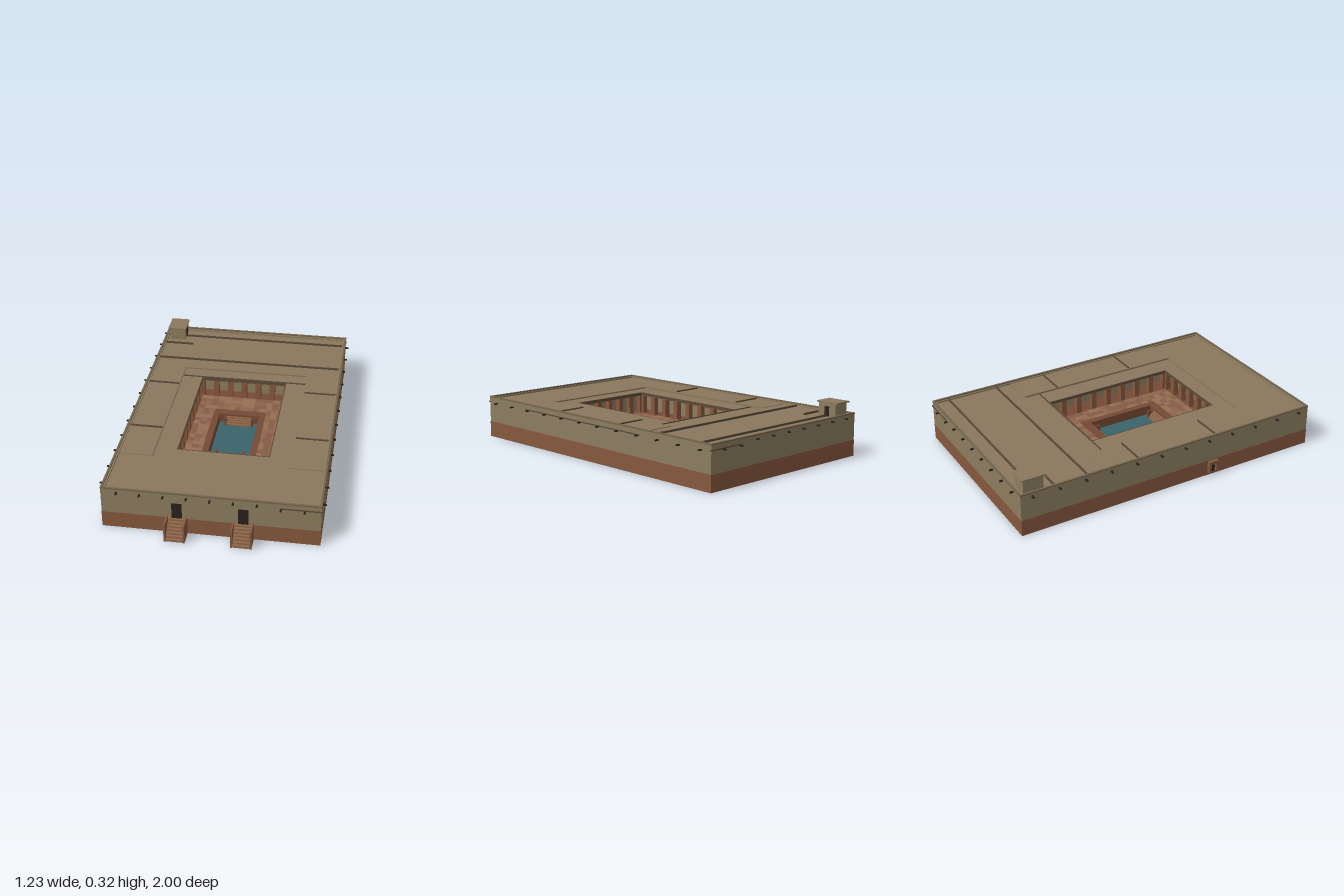
import * as THREE from 'three';
import { mergeGeometries } from 'three/addons/utils/BufferGeometryUtils.js';

const mat = (color) => new THREE.MeshStandardMaterial({ color });
const PLASTER = mat(0x8c7d60), ROOF = mat(0x8a785d), BRICK = mat(0x86583e), TRIM = mat(0x5a4a39);
const CAP = mat(0x75664e), DARK = mat(0x2a221d), WATER = mat(0x3a626b), RIM = mat(0x764a35), STEP = mat(0x93694b);
const TILES = [mat(0x8d664c), mat(0x966e52), mat(0x845c44)];

// Outer footprint, gallery, court and pool as [x0, x1, z0, z1]
const OUT = [-0.595, 0.595, -0.98, 0.91];
const GAL = [-0.385, 0.385, -0.465, 0.55];
const COURT = [-0.265, 0.265, -0.37, 0.455];
const RIMR = [-0.16, 0.16, -0.205, 0.29];
const POOL = [-0.122, 0.122, -0.165, 0.255];
const inset = ([a, b, c, d], t) => [a + t, b - t, c + t, d - t];

// Box given by its extents
function boxGeo(x0, x1, y0, y1, z0, z1) {
  return new THREE.BoxGeometry(x1 - x0, y1 - y0, z1 - z0)
    .translate((x0 + x1) / 2, (y0 + y1) / 2, (z0 + z1) / 2);
}

// Horizontal ring: a rectangular slab with a rectangular hole
function ringGeo(rect, hole, y0, y1) {
  const pts = ([a, b, c, d]) => [[a, -d], [b, -d], [b, -c], [a, -c]].map(p => new THREE.Vector2(...p));
  const shape = new THREE.Shape(pts(rect));
  shape.holes.push(new THREE.Path(pts(hole).reverse()));
  return new THREE.ExtrudeGeometry(shape, { depth: y1 - y0, bevelEnabled: false })
    .rotateX(-Math.PI / 2).translate(0, y0, 0);
}

export function createModel() {
  const root = new THREE.Group();
  const add = (name, material, ...geos) => {
    const mesh = new THREE.Mesh(geos.length > 1 ? mergeGeometries(geos) : geos[0], material);
    mesh.name = name;
    root.add(mesh);
  };

  // Outer walls
  add('brickPlinth', BRICK, ringGeo(OUT, inset(OUT, 0.03), 0, 0.095));
  add('upperWalls', PLASTER, ringGeo(inset(OUT, 0.001), inset(OUT, 0.02), 0.095, 0.246));
  add('parapetCap', CAP, ringGeo(OUT, inset(OUT, 0.012), 0.246, 0.254));

  // Sunken ledge round the left wing
  add('wingLedge', TRIM,
    boxGeo(0.38, 0.599, 0.217, 0.223, 0.9, 0.914),
    boxGeo(0.38, 0.599, 0.217, 0.223, -0.984, -0.97),
    boxGeo(0.585, 0.599, 0.215, 0.221, -0.45, 0.55));

  // Foundation walls
  add('foundationWalls', BRICK,
    boxGeo(-0.57, 0.57, 0, 0.094, -0.225, -0.2),
    boxGeo(-0.57, -0.16, 0, 0.094, 0.2, 0.23));

  // Floors
  add('mainFloor', RIM, ringGeo([-0.57, 0.57, -0.21, 0.885], RIMR, 0.085, 0.095));
  add('backCourtFloor', RIM, boxGeo(GAL[0], GAL[1], 0.085, 0.095, GAL[2], -0.21));

  // Court paving
  const paving = [[], [], []];
  const nx = 14, nz = 22, tw = 0.53 / nx, tz = 0.825 / nz;
  let seed = 7;
  for (let i = 0; i < nx; i++) for (let j = 0; j < nz; j++) {
    seed = (seed * 1103515245 + 12345) % 2147483648;
    const x = COURT[0] + (i + 0.5) * tw, z = COURT[2] + (j + 0.5) * tz;
    if (x > RIMR[0] && x < RIMR[1] && z > RIMR[2] && z < RIMR[3]) continue;
    paving[Math.floor(seed / 65536) % 3].push(
      boxGeo(x - tw / 2, x + tw / 2, 0.094, 0.0975, z - tz / 2, z + tz / 2));
  }
  paving.forEach((geos, k) => add('courtPaving', TILES[k], ...geos));

  // Pool basin, water and end steps
  add('poolBasin', RIM, ringGeo(RIMR, POOL, 0, 0.0985));
  add('poolBottom', DARK, boxGeo(POOL[0], POOL[1], 0.005, 0.02, POOL[2], POOL[3]));
  add('water', WATER, boxGeo(POOL[0], POOL[1], 0.02, 0.042, POOL[2], POOL[3]));
  for (const s of [-1, 1]) {
    const zEnd = s < 0 ? POOL[2] : POOL[3];
    const steps = [];
    for (let k = 0; k < 4; k++) {
      const a = zEnd - s * k * 0.01, b = a - s * 0.01;
      steps.push(boxGeo(-0.075, 0.075, 0.02, 0.085 - k * 0.011, Math.min(a, b), Math.max(a, b)));
    }
    add('poolSteps', STEP, ...steps);
    const ends = [zEnd, zEnd - s * 0.042];
    add('poolStepCheeks', RIM, ...[-1, 1].map(m =>
      boxGeo(m * 0.08 - 0.005, m * 0.08 + 0.005, 0.02, 0.09, Math.min(...ends), Math.max(...ends))));
  }

  // Gallery wall, piers and lintel around the court
  add('galleryWalls', PLASTER, ringGeo(GAL, inset(GAL, 0.015), 0.085, 0.226));
  const piers = [], s = 0.032;
  const pier = (x, z) => piers.push(boxGeo(x - s / 2, x + s / 2, 0.095, 0.212, z - s / 2, z + s / 2));
  for (let i = 0; i <= 6; i++) {
    const x = THREE.MathUtils.lerp(COURT[0], COURT[1], i / 6);
    pier(x, COURT[2] - s / 2);
    pier(x, COURT[3] + s / 2);
  }
  for (let j = 0; j <= 8; j++) {
    const z = THREE.MathUtils.lerp(COURT[2], COURT[3], j / 8);
    pier(COURT[0] - s / 2, z);
    pier(COURT[1] + s / 2, z);
  }
  add('courtPiers', BRICK, ...piers);
  add('courtLintel', TRIM, ringGeo(inset(COURT, -0.03), COURT, 0.208, 0.219));

  // Roofs: high outer ring, lower gallery ring and side wing panels
  add('mainRoof', ROOF, ringGeo(inset(OUT, 0.012), GAL, 0.222, 0.236));
  add('galleryRoof', ROOF, ringGeo(inset(GAL, -0.003), COURT, 0.218, 0.228));
  add('courtEaves', TRIM, ringGeo(COURT, inset(COURT, 0.006), 0.217, 0.2285));
  add('wingRoofs', ROOF,
    boxGeo(-0.583, -0.388, 0.23, 0.239, -0.47, 0.55),
    boxGeo(0.383, 0.583, 0.23, 0.24, -0.475, 0.56));

  // Raised wall heads crossing the roofs: [x0, x1, z]
  const ridges = [[-0.583, 0.583, -0.88], [-0.583, -0.395, -0.77], [-0.583, 0.583, -0.57],
    [-0.583, -0.39, -0.25], [0.39, 0.583, -0.25], [-0.583, -0.39, 0.26], [0.39, 0.583, 0.26]];
  add('roofRidges', TRIM,
    ...ridges.map(([a, b, z]) => boxGeo(a, b, 0.23, 0.247, z - 0.004, z + 0.004)),
    boxGeo(-0.383, 0.383, 0.22, 0.233, -0.376, -0.369));

  // Projecting beam ends, set lower round the left wing
  const beams = [];
  const beam = (x, y, z, hx, hz) => beams.push(boxGeo(x - hx, x + hx, y - 0.004, y + 0.004, z - hz, z + hz));
  for (let i = 0; i < 12; i++) {
    const z = -0.91 + i * 0.1585;
    beam(-0.6, 0.229, z, 0.015, 0.005);
    beam(0.6, 0.214, z, 0.015, 0.005);
  }
  for (let i = 0; i < 9; i++) {
    const x = (i - 4) * 0.1265, y = i < 7 ? 0.229 : 0.214;
    beam(x, y, -0.985, 0.005, 0.012);
    beam(x, y, 0.915, 0.005, 0.015);
  }
  add('beamEnds', DARK, ...beams);

  // Front doors and stairs
  for (const x of [-0.18, 0.18]) {
    add('frontDoor', DARK, boxGeo(x - 0.028, x + 0.028, 0.095, 0.19, 0.89, 0.912));
    const steps = [];
    for (let k = 0; k < 7; k++) {
      steps.push(boxGeo(x - 0.048, x + 0.048, 0, 0.0136 * (k + 1), 0.997 - (k + 1) * 0.0125, 0.997 - k * 0.0125));
    }
    add('frontSteps', STEP, ...steps);
    add('stairCheeks', BRICK, ...[-1, 1].map(m =>
      boxGeo(x + m * 0.052 - 0.005, x + m * 0.052 + 0.005, 0, 0.111, 0.91, 1)));
  }

  // Roof stair hut
  add('roofHut', PLASTER, boxGeo(-0.56, -0.46, 0.23, 0.314, -0.945, -0.825));
  add('roofHutCap', ROOF, boxGeo(-0.57, -0.454, 0.313, 0.321, -0.957, -0.815));
  add('roofHutDoor', DARK, boxGeo(-0.47, -0.457, 0.237, 0.295, -0.9, -0.868));

  // Drain outlet on the right side
  add('drainSurround', BRICK,
    boxGeo(-0.615, -0.59, 0.07, 0.09, 0.2, 0.262),
    boxGeo(-0.615, -0.59, 0.018, 0.07, 0.2, 0.215),
    boxGeo(-0.615, -0.59, 0.018, 0.07, 0.247, 0.262));
  add('drainOpening', DARK, boxGeo(-0.599, -0.59, 0.018, 0.07, 0.215, 0.247));

  return root;
}
